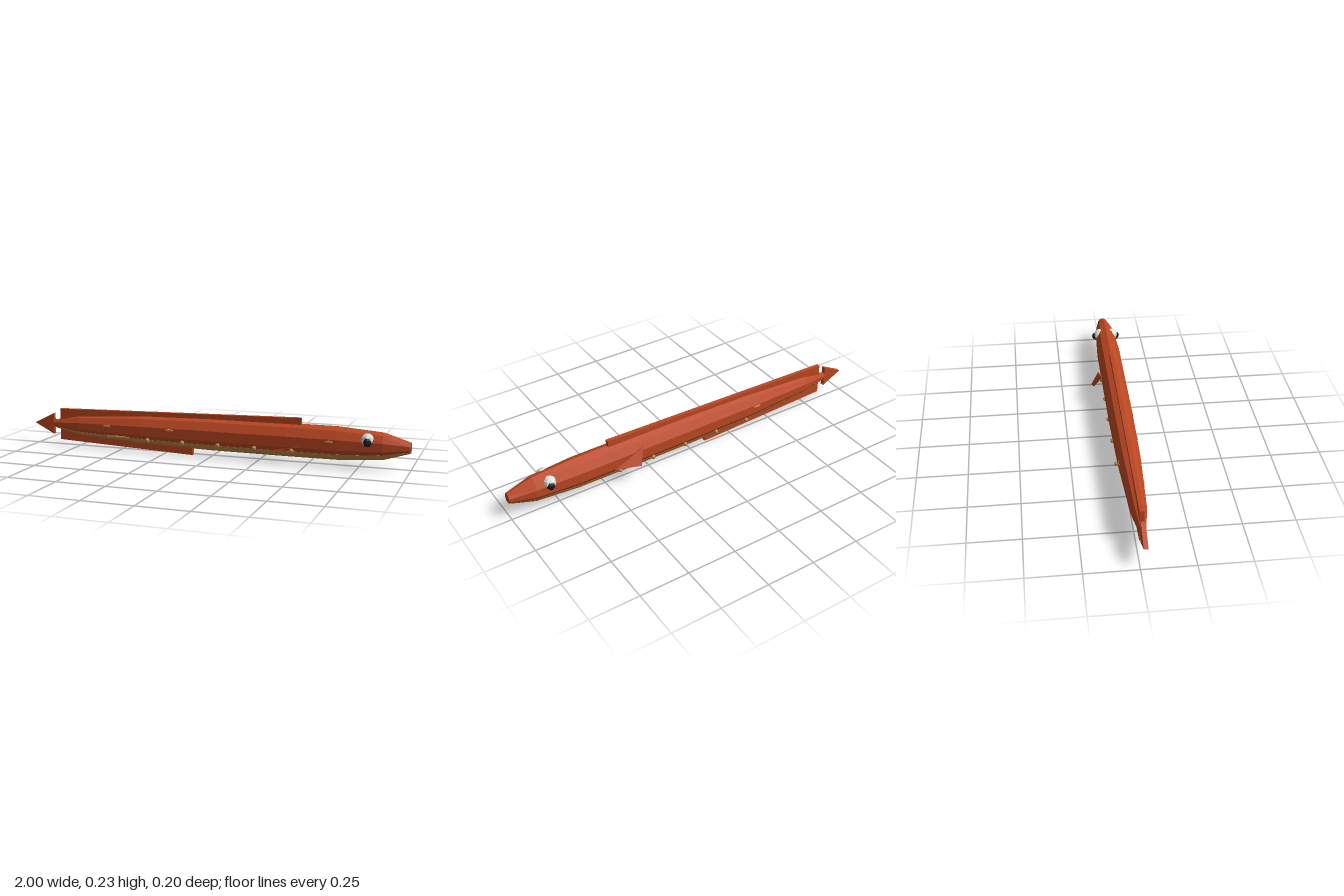
import * as THREE from 'three';
import { ConvexGeometry } from 'three/addons/geometries/ConvexGeometry.js';

const CY = 0.117, CZ = 0.023; // body axis

// x, half height, half width from tail to snout
const SECTIONS = [
  [-0.89, 0.02, 0.016], [-0.74, 0.053, 0.039], [-0.37, 0.075, 0.057], [0, 0.083, 0.063],
  [0.4, 0.084, 0.063], [0.65, 0.083, 0.063], [0.87, 0.067, 0.052], [1, 0.027, 0.026],
];

// Closed faceted skin through the sections; outline = [angle from below in degrees, scale]
function loft(outline) {
  const rings = SECTIONS.map(([x, ry, rz]) => outline.map(([deg, s]) => {
    const a = THREE.MathUtils.degToRad(deg);
    return new THREE.Vector3(x, CY - Math.cos(a) * ry * s, CZ + Math.sin(a) * rz * s);
  }));
  const pts = [], n = outline.length, last = rings.length - 1;
  const middle = (r) => r.reduce((m, p) => m.add(p), new THREE.Vector3()).divideScalar(n);
  const start = middle(rings[0]), end = middle(rings[last]);
  for (let j = 0; j < n; j++) {
    const k = (j + 1) % n;
    for (let i = 0; i < last; i++) {
      const a = rings[i][j], b = rings[i + 1][j], c = rings[i + 1][k], d = rings[i][k];
      pts.push(a, b, d, b, c, d);
    }
    pts.push(start, rings[0][j], rings[0][k], end, rings[last][k], rings[last][j]);
  }
  const g = new THREE.BufferGeometry().setFromPoints(pts);
  g.computeVertexNormals();
  return g;
}

// Flat plate: a polygon pushed along an offset
function plate(corners, offset) {
  const o = new THREE.Vector3(...offset);
  const a = corners.map((c) => new THREE.Vector3(...c));
  return new ConvexGeometry([...a, ...a.map((p) => p.clone().add(o))]);
}

export function createModel() {
  const group = new THREE.Group();
  const material = (name, color) => {
    const m = new THREE.MeshStandardMaterial({ color, flatShading: true });
    m.name = name;
    return m;
  };
  const red = material('rust red', 0xbc4722);
  const tan = material('tan', 0xbf8a48);
  const white = material('eye white', 0xe2e2da);
  const black = material('pupil black', 0x16191c);

  const add = (name, geometry, mat, pos = [0, 0, 0], scale = [1, 1, 1]) => {
    const m = new THREE.Mesh(geometry, mat);
    m.name = name;
    m.position.set(...pos);
    m.scale.set(...scale);
    group.add(m);
  };

  // Long ten-sided body and its pale underside
  add('body', loft(Array.from({ length: 10 }, (_, i) => [i * 36, 1])), red);
  add('belly', loft([[-54, 0.975], [-36, 1.012], [0, 1.008], [36, 1.012], [54, 0.975]]), tan);

  // Fins in the middle plane, given as x, y corners
  const midFin = (name, corners) =>
    add(name, plate(corners.map(([x, y]) => [x, y, CZ - 0.0105]), [0, 0, 0.021]), red);
  midFin('dorsalFin', [[-0.85, 0.2], [0.465, 0.23], [0.465, 0.16], [-0.85, 0.125]]);
  midFin('analFin', [[-0.85, 0.035], [-0.1, 0.003], [-0.1, 0.09], [-0.85, 0.11]]);
  midFin('tailFin', [[-1, CY], [-0.89, CY + 0.056], [-0.89, CY - 0.056]]);

  // Side fins: one stands out, the other is nearly sunk in the body
  add('rightPectoralFin',
    plate([[0.31, 0.18, -0.058], [0.345, 0.104, -0.098], [0.47, 0.1, -0.05]], [-0.007, -0.011, 0.015]), red);
  add('leftPectoralFin',
    plate([[0.31, 0.15, 0.04], [0.345, 0.06, 0.078], [0.47, 0.1, 0.085]], [0.007, 0.011, -0.015]), red);

  const ball = new THREE.SphereGeometry(1, 8, 6);
  const bead = new THREE.SphereGeometry(0.012, 6, 5);
  for (const side of [-1, 1]) {
    // Eyes
    add('eye', ball, white, [0.797, 0.149, CZ + side * 0.036], [0.033, 0.033, 0.033]);
    add('pupil', ball, black, [0.8, 0.141, CZ + side * 0.055], [0.021, 0.023, 0.022]);
    // Row of beads along the lower flank
    for (let i = 0; i < 5; i++) {
      add('flankBead', bead, tan, [-0.33 + i * 0.19, 0.073, CZ + side * 0.056]);
    }
  }

  // Flat skin spots: x, y, offset from the axis, half length
  for (const [x, y, dz, len] of [
    [-0.56, 0.13, 0.045, 0.025], [-0.21, 0.133, 0.057, 0.025], [0.615, 0.131, 0.06, 0.022],
    [-0.5, 0.076, 0.042, 0.07], [-0.4, 0.13, -0.053, 0.022],
  ]) {
    add('skinSpot', ball, tan, [x, y, CZ + dz], [len, 0.007, 0.004]);
  }
  return group;
}
